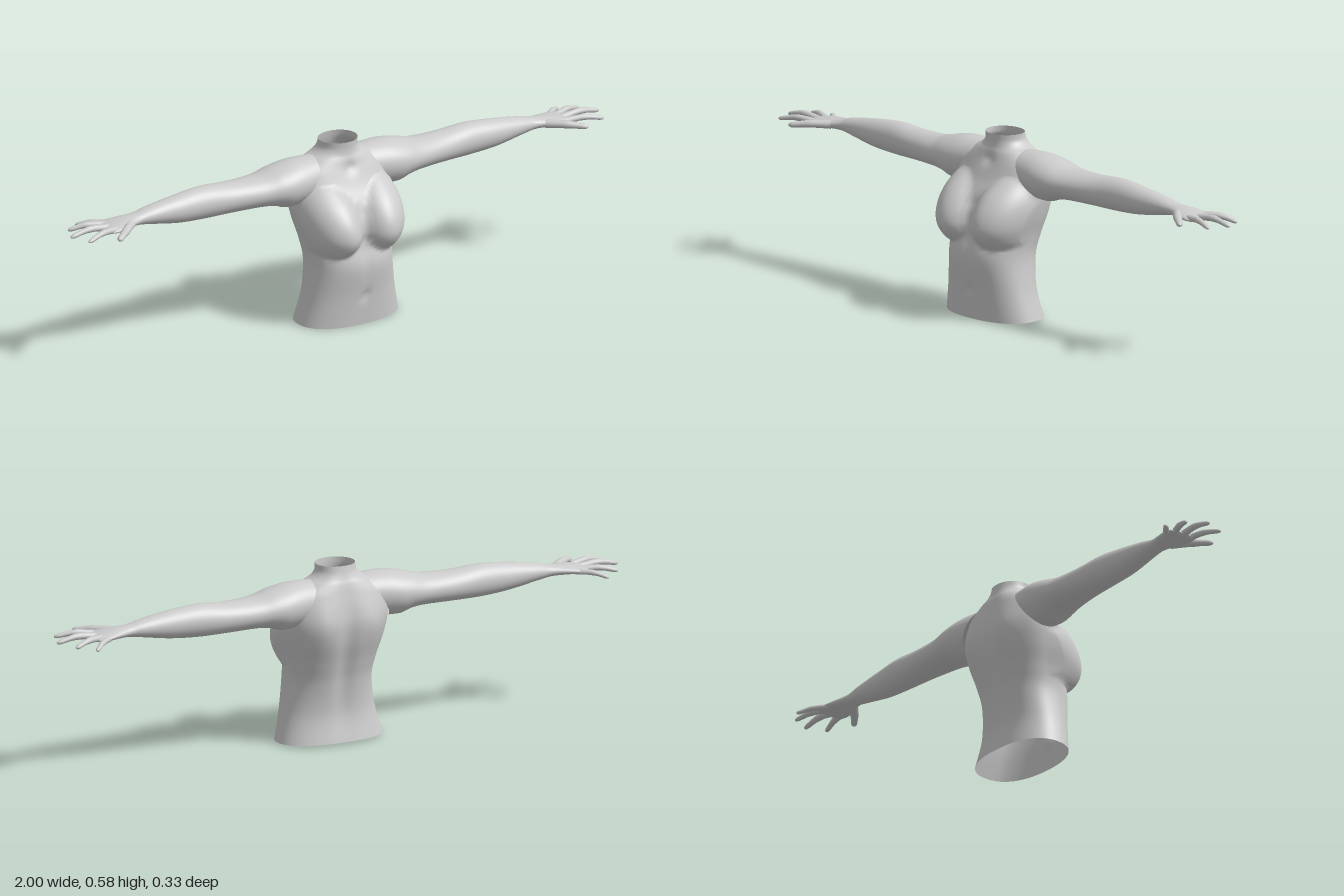
import * as THREE from 'three';

const material = new THREE.MeshStandardMaterial({ color: 0xcccccc, side: THREE.DoubleSide });

// Smoothly interpolates rows of section numbers (Catmull-Rom per column).
function spline(rows, steps) {
  const out = [];
  const last = rows.length - 1;
  for (let k = 0; k < last; k++) {
    const [a, b, c, d] = [rows[Math.max(k - 1, 0)], rows[k], rows[k + 1], rows[Math.min(k + 2, last)]];
    for (let s = 0; s < steps; s++) {
      const t = s / steps;
      out.push(b.map((v, i) => {
        const cubic = 3 * (v - c[i]) + d[i] - a[i];
        const square = 2 * a[i] - 5 * v + 4 * c[i] - d[i];
        return v + 0.5 * t * (c[i] - a[i] + t * (square + t * cubic));
      }));
    }
  }
  out.push(rows[last]);
  return out;
}

// Skins a list of closed rings; side = -1 mirrors the result across x.
function loft(name, rings, side = 1) {
  const n = rings[0].length;
  const positions = [];
  const index = [];
  rings.forEach((ring) => ring.forEach((p) => positions.push(p.x * side, p.y, p.z)));
  for (let k = 0; k < rings.length - 1; k++) {
    for (let i = 0; i < n; i++) {
      const a = k * n + i, b = k * n + (i + 1) % n;
      const c = a + n, d = b + n;
      if (side > 0) index.push(a, c, b, b, c, d);
      else index.push(a, b, c, b, d, c);
    }
  }
  const geometry = new THREE.BufferGeometry();
  geometry.setAttribute('position', new THREE.Float32BufferAttribute(positions, 3));
  geometry.setIndex(index);
  geometry.computeVertexNormals();
  const mesh = new THREE.Mesh(geometry, material);
  mesh.name = name;
  return mesh;
}

const ringOf = (n, point) => Array.from({ length: n }, (_, i) => point(i / n * Math.PI * 2));
const power = (v, p) => Math.sign(v) * Math.abs(v) ** p;
const bell = (v, width) => Math.exp(-((v / width) ** 2));

// Torso rows: height, half width, front z, back z
const torsoRows = [
  [0, 0.18, 0.112, -0.102], [0.1, 0.157, 0.122, -0.088], [0.2, 0.143, 0.135, -0.1],
  [0.27, 0.15, 0.121, -0.118], [0.34, 0.168, 0.113, -0.138], [0.4, 0.178, 0.092, -0.145],
  [0.45, 0.175, 0.062, -0.138], [0.5, 0.155, 0.038, -0.125], [0.53, 0.115, 0.027, -0.116],
  [0.547, 0.083, 0.021, -0.109], [0.565, 0.067, 0.019, -0.103], [0.587, 0.065, 0.02, -0.098],
];

function torso() {
  const rings = spline(torsoRows, 7).map(([y, w, front, back]) => {
    const mid = (front + back) / 2, depth = (front - back) / 2;
    const squareness = y < 0.5 ? 0.86 : 0.86 + (y - 0.5) * 1.6;
    return ringOf(96, (t) => {
      const p = new THREE.Vector3(w * power(Math.cos(t), squareness), y, mid + depth * power(Math.sin(t), squareness));
      if (Math.sin(t) > 0) {
        // Breasts: rounded below, sloping into the chest above
        const dx = (Math.abs(p.x) - 0.1) / 0.09;
        const dy = (y - 0.315) / (y < 0.315 ? 0.075 : 0.15);
        const swell = Math.max(0, 1 - dx * dx - dy * dy) ** 0.8;
        p.z += 0.064 * swell;
        p.x += Math.sign(p.x) * 0.02 * swell * Math.max(0, dx);
        // Navel, midline and hollow of the throat
        p.z -= 0.01 * bell(p.x, 0.012) * bell(y - 0.1, 0.014);
        p.z -= 0.005 * bell(p.x, 0.02) * bell(y - 0.26, 0.09);
        p.z -= 0.008 * bell(p.x, 0.018) * bell(y - 0.505, 0.018);
      } else {
        // Spine groove and shoulder blades
        p.z += 0.014 * bell(p.x, 0.03) * bell(y - 0.3, 0.2);
        p.z -= 0.008 * bell(Math.abs(p.x) - 0.09, 0.04) * bell(y - 0.4, 0.07);
      }
      // Waist edge dips slightly at the front
      p.y += Math.max(0, 1 - y / 0.1) * (0.006 - 0.03 * p.z);
      return p;
    });
  });
  return loft('torso', rings);
}

// Arm rows: x, top, bottom, front z, back z, slant of the section
const armRows = [
  [0.13, 0.542, 0.395, 0.03, -0.122, 0.045], [0.19, 0.543, 0.396, 0.036, -0.131, 0.025],
  [0.24, 0.532, 0.408, 0.032, -0.13, 0.008], [0.3, 0.516, 0.414, 0.018, -0.123, 0],
  [0.4, 0.513, 0.414, 0, -0.117, 0], [0.5, 0.519, 0.414, -0.009, -0.111, 0],
  [0.6, 0.511, 0.421, -0.014, -0.102, 0], [0.7, 0.496, 0.438, -0.025, -0.094, 0],
  [0.75, 0.485, 0.446, -0.029, -0.09, 0], [0.8, 0.48, 0.447, -0.014, -0.102, 0],
  [0.84, 0.474, 0.447, -0.004, -0.112, 0], [0.87, 0.468, 0.45, -0.008, -0.11, 0],
  [0.88, 0.46, 0.458, -0.03, -0.09, 0],
];

function arm(side) {
  const rings = spline(armRows, 6).map(([x, top, bottom, front, back, slant]) =>
    ringOf(48, (t) => new THREE.Vector3(
      x - slant * Math.cos(t),
      (top + bottom) / 2 + (top - bottom) / 2 * Math.cos(t),
      (front + back) / 2 - (front - back) / 2 * Math.sin(t),
    )));
  return loft('arm', rings, side);
}

// Fingers: name, root, middle joint, tip, root radius
const fingers = [
  ['littleFinger', [0.83, 0.459, -0.094], [0.875, 0.458, -0.13], [0.912, 0.445, -0.163], 0.011],
  ['ringFinger', [0.85, 0.46, -0.08], [0.91, 0.464, -0.103], [0.966, 0.451, -0.123], 0.0125],
  ['middleFinger', [0.86, 0.461, -0.055], [0.93, 0.468, -0.056], [1, 0.455, -0.056], 0.013],
  ['indexFinger', [0.85, 0.461, -0.024], [0.91, 0.467, -0.007], [0.975, 0.456, 0.012], 0.0125],
  ['thumb', [0.785, 0.463, -0.035], [0.835, 0.464, 0.012], [0.888, 0.458, 0.054], 0.016],
];

function finger([name, root, joint, tip, radius], side) {
  const curve = new THREE.CatmullRomCurve3([root, joint, tip].map((p) => new THREE.Vector3(...p)));
  const steps = 18;
  const rings = [];
  for (let k = 0; k <= steps; k++) {
    const u = 1 - (1 - k / steps) ** 1.5;
    const center = curve.getPoint(u);
    const along = curve.getTangent(u);
    const across = new THREE.Vector3(0, 1, 0).cross(along).normalize();
    const up = along.clone().cross(across);
    // Taper with a knuckle swell and a rounded tip
    const tipRound = Math.sqrt(Math.max(0, 1 - Math.max(0, (u - 0.88) / 0.12) ** 2));
    const r = radius * (1 - 0.4 * u + 0.08 * bell(u - 0.5, 0.1)) * tipRound;
    rings.push(ringOf(16, (t) => center.clone()
      .addScaledVector(up, r * 0.9 * Math.cos(t))
      .addScaledVector(across, r * Math.sin(t))));
  }
  return loft(name, rings, side);
}

export function createModel() {
  const model = new THREE.Group();
  model.name = 'upperBody';
  model.add(torso());
  for (const side of [1, -1]) {
    const limb = new THREE.Group();
    limb.name = side > 0 ? 'leftArm' : 'rightArm';
    limb.add(arm(side));
    fingers.forEach((f) => limb.add(finger(f, side)));
    model.add(limb);
  }
  return model;
}
